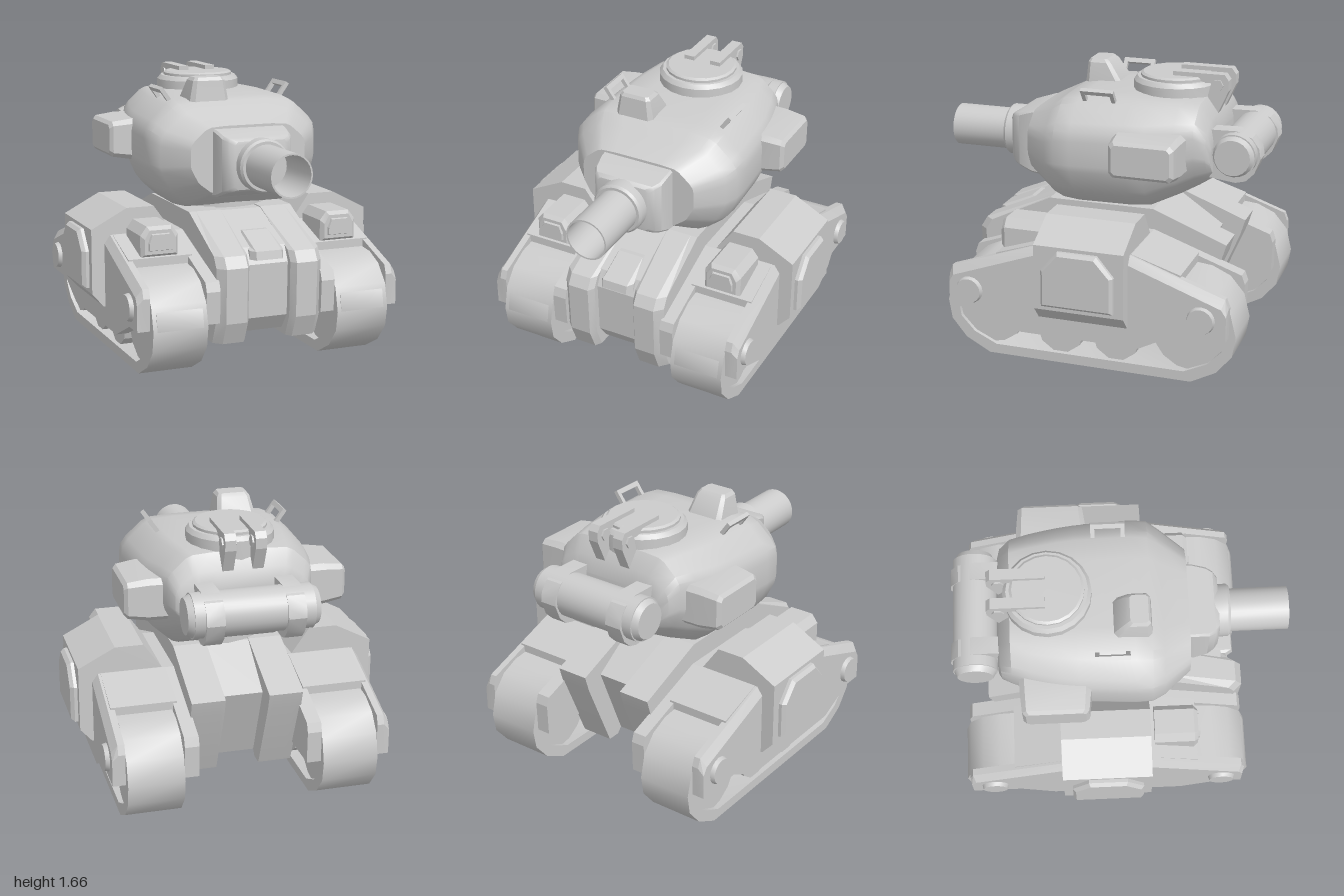
import * as THREE from 'three';
import { toCreasedNormals } from 'three/addons/utils/BufferGeometryUtils.js';

const material = new THREE.MeshStandardMaterial({ color: 0xcccccc });

// Closed solid through 2D outlines: axis x takes [z, y], y takes [x, z], z takes [x, y]
function loft(axis, sections, crease = 0.3) {
  const place = {
    x: (t, [a, b]) => [t, b, a],
    y: (t, [a, b]) => [a, t, b],
    z: (t, [a, b]) => [a, b, t],
  }[axis];
  const n = sections[0][1].length;
  const pos = sections.flatMap(([t, ring]) => ring.flatMap((p) => place(t, p)));
  const index = [];
  for (let s = 0; s < sections.length - 1; s++) {
    for (let i = 0; i < n; i++) {
      const a = s * n + i, b = s * n + (i + 1) % n;
      index.push(a, b, b + n, a, b + n, a + n);
    }
  }
  [0, sections.length - 1].forEach((s) => {
    const ring = sections[s][1].map((p) => new THREE.Vector2(...p));
    const ccw = !THREE.ShapeUtils.isClockWise(ring);
    for (const [a, b, c] of THREE.ShapeUtils.triangulateShape(ring, [])) {
      // triangles follow the outline's own direction; the first cap faces backwards
      const q = THREE.ShapeUtils.area([ring[a], ring[b], ring[c]]) > 0 === ccw ? [a, b, c] : [a, c, b];
      if (s === 0) q.reverse();
      index.push(...q.map((k) => k + s * n));
    }
  });
  // turn the faces outwards
  let volume = 0;
  const v = (k) => new THREE.Vector3().fromArray(pos, k * 3);
  for (let i = 0; i < index.length; i += 3) volume += v(index[i]).dot(v(index[i + 1]).cross(v(index[i + 2])));
  if (volume < 0) index.reverse();
  const g = new THREE.BufferGeometry();
  g.setAttribute('position', new THREE.Float32BufferAttribute(pos, 3));
  g.setIndex(index);
  return toCreasedNormals(g, crease);
}

// Rectangle with cut corners
const cut = (a0, a1, b0, b1, c) => [[a0 + c, b0], [a1 - c, b0], [a1, b0 + c], [a1, b1 - c],
  [a1 - c, b1], [a0 + c, b1], [a0, b1 - c], [a0, b0 + c]];

export function createModel() {
  const model = new THREE.Group();
  const add = (name, geometry, x = 0, y = 0, z = 0, parent = model) => {
    const mesh = new THREE.Mesh(geometry, material);
    mesh.name = name;
    mesh.position.set(x, y, z);
    parent.add(mesh);
    return mesh;
  };
  const discX = (r0, r1, len, sides) =>
    toCreasedNormals(new THREE.CylinderGeometry(r1, r0, len, sides).rotateZ(-Math.PI / 2), 0.6);

  // Track belt: outer outline with an inset hole
  const belt = [[0.52, 0], [0.67, 0.08], [0.76, 0.19], [0.78, 0.31], [0.745, 0.45], [0.66, 0.55], [0.55, 0.6],
    [0.4, 0.615], [-0.62, 0.615], [-0.76, 0.6], [-0.87, 0.55], [-0.955, 0.45], [-0.99, 0.31], [-0.97, 0.19], [-0.88, 0.08], [-0.73, 0]];
  const beltShape = new THREE.Shape(belt.map((p) => new THREE.Vector2(...p)));
  beltShape.holes.push(new THREE.Path(belt.map(([z, y]) => new THREE.Vector2(-0.1 + (z + 0.1) * 0.93, 0.31 + (y - 0.31) * 0.81))));
  const beltGeometry = toCreasedNormals(
    new THREE.ExtrudeGeometry(beltShape, { depth: 0.33, bevelEnabled: false }).rotateY(-Math.PI / 2).translate(0.165, 0, 0), 0.65);

  // Fender outlines: full plate and the smaller bevelled outer face
  const under = [[-0.95, 0.31], [-0.65, 0.31], [-0.44, 0.2], [0.36, 0.2], [0.6, 0.31], [0.735, 0.31]];
  const plate = [...under, [0.745, 0.5], [0.725, 0.555], [0.17, 0.75], [-0.38, 0.75], [-0.935, 0.555], [-0.955, 0.5]];
  const face = [...under, [0.735, 0.46], [0.71, 0.505], [0.17, 0.7], [-0.38, 0.7], [-0.92, 0.505], [-0.95, 0.46]];
  const cover = [[0.45, 0.6], [0.45, 0.66], [0.17, 0.752], [-0.38, 0.752], [-0.67, 0.66], [-0.67, 0.6]];

  for (const s of [1, -1]) {
    const side = s > 0 ? 'left' : 'right';
    const X = (list) => list.map(([x, ring]) => [x * s, ring]);
    const mx = (ring) => ring.map(([x, y]) => [x * s, y]);

    add(side + 'Track', beltGeometry, 0.575 * s);
    [[0.53, 0.31, 0.25, 16], [0.075, 0.2, 0.145, 10], [-0.27, 0.2, 0.145, 10], [-0.735, 0.31, 0.25, 16]].forEach(
      ([z, y, r, n], i) => add(side + 'Wheel' + (i + 1), discX(r, r, 0.28, n), 0.575 * s, y, z));

    add(side + 'InnerFender', loft('x', X([[0.32, plate], [0.405, plate]])));
    add(side + 'OuterFender', loft('x', X([[0.745, plate], [0.785, plate], [0.82, face]])));
    add(side + 'TrackCover', loft('x', X([[0.38, cover], [0.77, cover]])));

    // Hub caps at both ends
    for (const z of [0.605, -0.805]) {
      add(side + 'HubCap', discX(s > 0 ? 0.088 : 0.075, s > 0 ? 0.075 : 0.088, 0.04, 16), 0.825 * s, 0.425, z);
    }

    // Side pod with a raised panel
    const pod = mx([[0.33, 0.32], [0.83, 0.32], [0.9, 0.4], [0.9, 0.79], [0.68, 0.905], [0.51, 0.905], [0.4, 0.75], [0.33, 0.7]]);
    add(side + 'Pod', loft('z', [[-0.375, pod], [0.165, pod]]));
    const panel = (i) => [[0.115 - i, 0.43 + i], [-0.32 + i, 0.43 + i], [-0.32 + i, 0.65], [-0.22 + i / 2, 0.77 - i],
      [0.015 - i / 2, 0.77 - i], [0.115 - i, 0.65]];
    add(side + 'PodPanel', loft('x', X([[0.88, panel(0)], [0.92, panel(0)], [0.942, panel(0.018)]])));

    // Headlamp box with a raised lens
    const lamp = (i) => [[0.46 + i, 0.66 + i], [0.69 - i, 0.66 + i], [0.69 - i, 0.79 - i], [0.65 - i / 2, 0.842 - i], [0.5 + i / 2, 0.842 - i], [0.46 + i, 0.79 - i]];
    add(side + 'Headlamp', loft('z', [[0.19, mx(lamp(0))], [0.43, mx(lamp(0))], [0.455, mx(lamp(0.02))]]));
    add(side + 'HeadlampLens', loft('z', [[0.44, mx(lamp(0.035))], [0.468, mx(lamp(0.045))]]));

    // Hull prongs, chamfered at the front corners
    const prong = (f) => [[0.28, 0.875], [0.715 - f, 0.69], [0.755 - f, 0.625], [0.745 - f, 0.3], [0.69 - f, 0.17], [0.46, 0.17], [0.42, 0.205],
      [-0.5, 0.205], [-0.53, 0.17], [-0.61, 0.17], [-0.79, 0.6], [-0.82, 0.7], [-0.37, 0.875]];
    add(side + 'HullProng', loft('x', X([[0.13, prong(0.04)], [0.155, prong(0)], [0.285, prong(0)], [0.33, prong(0.05)]])));

    // Turret side box
    add(side + 'TurretBox', loft('x', X([[0.4, cut(-0.595, -0.18, 1.13, 1.38, 0.03)], [0.52, cut(-0.59, -0.18, 1.13, 1.38, 0.03)],
      [0.635, cut(-0.58, -0.195, 1.15, 1.365, 0.025)], [0.655, cut(-0.56, -0.215, 1.17, 1.345, 0.02)]]), 0.5));

    // Grab handle leaning outwards
    const handle = new THREE.Group();
    handle.name = side + 'Handle';
    handle.position.set(0.345 * s, 1.49, -0.05);
    handle.rotation.z = -0.62 * s;
    add('handleBar', new THREE.BoxGeometry(0.025, 0.03, 0.2), 0, 0.105, 0, handle);
    for (const z of [-0.088, 0.088]) add('handleLeg', new THREE.BoxGeometry(0.025, 0.13, 0.024), 0, 0.05, z, handle);
    model.add(handle);

    // Rear canister strap
    const strap = [[-0.64, 1.38], [-0.85, 1.385], [-0.94, 1.35], [-0.985, 1.29], [-0.995, 1.23], [-0.96, 1.14],
      [-0.91, 1.09], [-0.85, 1.075], [-0.64, 1.1]];
    add(side + 'CanisterStrap', loft('x', X([[0.18, strap], [0.285, strap]]), 0.5));
    add(side + 'CanisterCap', discX(s > 0 ? 0.125 : 0.105, s > 0 ? 0.105 : 0.125, 0.04, 20), 0.36 * s, 1.25, -0.85);

    // Hatch hinge arm and bolt
    const arm = [[-0.42, 1.61], [-0.42, 1.665], [-0.73, 1.665], [-0.755, 1.63], [-0.755, 1.57], [-0.68, 1.4], [-0.6, 1.4], [-0.65, 1.61]];
    add(side + 'HatchArm', loft('x', X([[0.055, arm], [0.12, arm]])));
    add(side + 'HatchBolt', discX(0.036, 0.036, 0.085, 6), 0.0875 * s, 1.6, -0.69);
  }

  // Hull core between the prongs, with a small box on the front slope
  const core = [[0.28, 0.87], [0.63, 0.715], [0.68, 0.62], [0.67, 0.3], [0.6, 0.205], [-0.5, 0.205], [-0.68, 0.66], [-0.37, 0.87]];
  add('hullCore', loft('x', [[-0.15, core], [0.15, core]]));
  const box = (i) => [[0.42, 0.785 - i], [0.5, 0.785 - i], [0.7 - i, 0.7], [0.71 - i, 0.65], [0.5, 0.65]];
  add('hullFrontBox', loft('x', [[-0.105, box(0.04)], [-0.08, box(0)], [0.08, box(0)], [0.105, box(0.04)]]));
  add('turretRing', new THREE.CylinderGeometry(0.3, 0.3, 0.06, 24), 0, 0.885, -0.08);

  // Turret shell: near-octagonal sections from back to front
  const half = [[0.58, 0], [0.66, 0.02], [0.83, 0.14], [0.88, 0.19], [0.985, 0.37], [1, 0.43], [1, 0.65], [0.98, 0.74],
    [0.92, 0.81], [0.74, 0.95], [0.65, 0.985], [0.4, 1]];
  const outline = (w, b, t) => [...half, ...half.map(([x, y]) => [-x, y]).reverse()].map(([x, y]) => [x * w, b + y * (t - b)]);
  add('turret', loft('z', [[-0.715, outline(0.35, 1.09, 1.34)], [-0.695, outline(0.39, 1.07, 1.44)], [-0.63, outline(0.425, 1.03, 1.53)],
    [-0.52, outline(0.46, 0.97, 1.54)], [-0.35, outline(0.505, 0.89, 1.54)], [-0.25, outline(0.52, 0.88, 1.54)],
    [0.08, outline(0.54, 0.88, 1.53)], [0.18, outline(0.535, 0.89, 1.515)], [0.25, outline(0.495, 0.91, 1.465)],
    [0.405, outline(0.365, 1.0, 1.395)]], 0.6));

  // Mantlet, collar and hollow barrel
  add('mantlet', loft('z', [[0.36, cut(-0.23, 0.23, 0.975, 1.385, 0.012)], [0.44, cut(-0.227, 0.227, 0.985, 1.375, 0.012)],
    [0.52, cut(-0.217, 0.217, 1.015, 1.35, 0.014)], [0.56, cut(-0.195, 0.195, 1.03, 1.34, 0.016)],
    [0.585, cut(-0.165, 0.165, 1.045, 1.325, 0.02)]], 0.7));
  const lathe = (pts, sides) => toCreasedNormals(new THREE.LatheGeometry(pts.map((p) => new THREE.Vector2(...p)), sides), 0.5);
  add('barrelCollar', lathe([[0, 0.5], [0.15, 0.5], [0.157, 0.58], [0.157, 0.64], [0.145, 0.655], [0, 0.655]], 28).rotateX(Math.PI / 2), 0, 1.185, 0);
  add('barrel', lathe([[0.128, 0.6], [0.128, 1], [0.118, 1], [0.118, 0.68], [0, 0.68]], 28).rotateX(Math.PI / 2), 0, 1.185, 0);

  // Hatch, sight box and rear canister
  add('hatch', lathe([[0, 0], [0.255, 0], [0.255, 0.115], [0.235, 0.14], [0.215, 0.14], [0.215, 0.155], [0.2, 0.165], [0, 0.165]], 20), 0, 1.475, -0.41);
  add('sightBox', loft('y', [[1.47, cut(-0.275, -0.025, -0.06, 0.185, 0.025)], [1.53, cut(-0.27, -0.03, -0.04, 0.18, 0.025)],
    [1.635, cut(-0.25, -0.05, 0.03, 0.172, 0.02)], [1.655, cut(-0.235, -0.065, 0.055, 0.16, 0.015)]], 0.4));
  add('canister', discX(0.13, 0.13, 0.69, 24), 0, 1.25, -0.85);

  return model;
}
